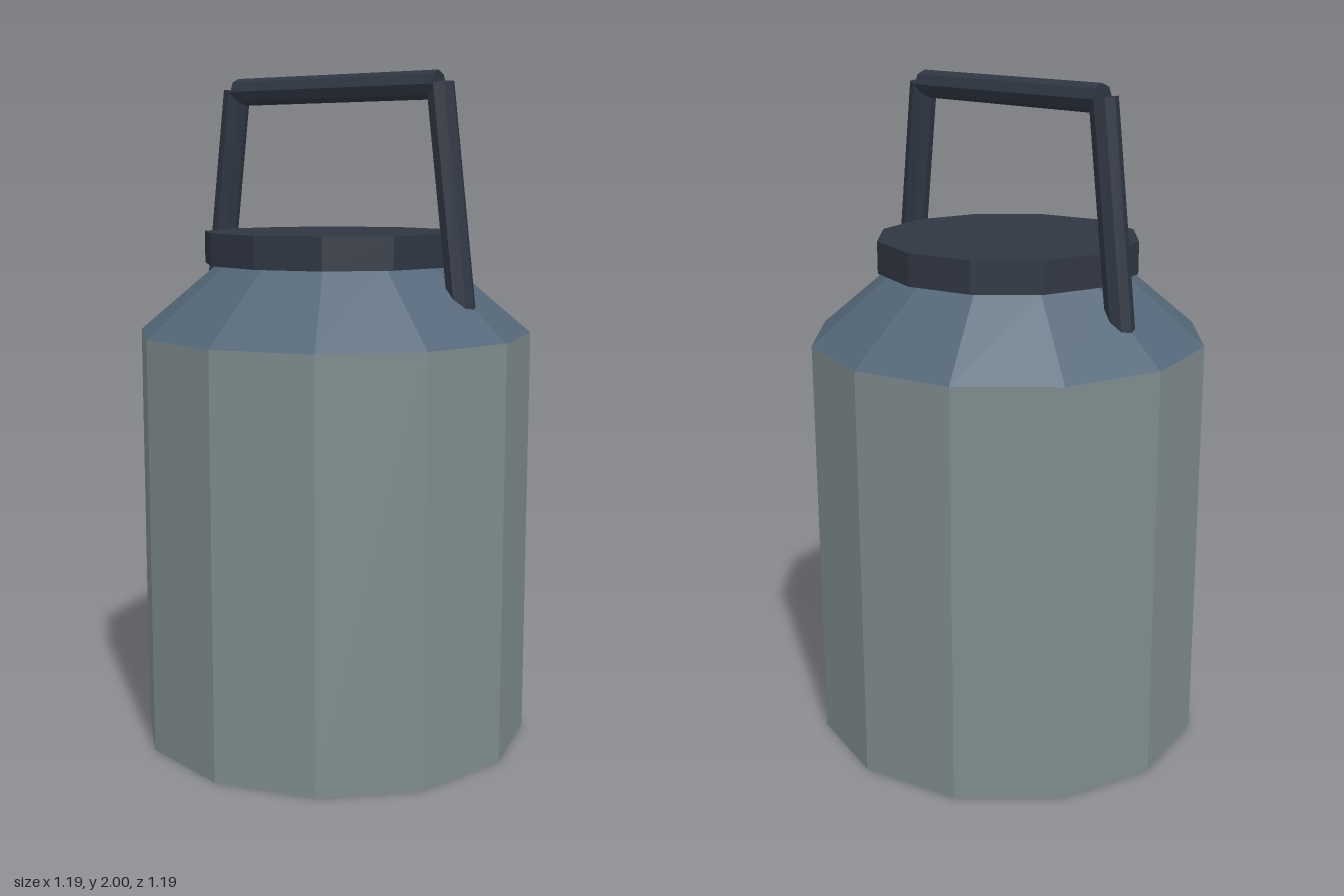
import * as THREE from 'three';

const mat = (name, color) => {
  const m = new THREE.MeshStandardMaterial({ color, flatShading: true });
  m.name = name;
  return m;
};

export function createModel() {
  const group = new THREE.Group();
  group.name = 'milkCan';
  const grey = mat('steelGrey', 0x7e8b8e);
  const blue = mat('slateBlue', 0x546778);
  const dark = mat('darkSlate', 0x2f3643);

  // Twelve-sided stacked ring between two heights
  const ring = (name, rTop, rBottom, y0, y1, material) => {
    const mesh = new THREE.Mesh(new THREE.CylinderGeometry(rTop, rBottom, y1 - y0, 12), material);
    mesh.position.y = (y0 + y1) / 2;
    mesh.name = name;
    group.add(mesh);
  };
  ring('body', 0.593, 0.593, 0, 1.24, grey);
  ring('shoulder', 0.35, 0.593, 1.24, 1.445, blue);
  ring('lid', 0.392, 0.392, 1.445, 1.54, dark);

  // Eight-sided rod between two points in the x-y plane
  const rod = (name, x0, y0, x1, y1) => {
    const dir = new THREE.Vector3(x1 - x0, y1 - y0, 0);
    const mesh = new THREE.Mesh(new THREE.CylinderGeometry(0.041, 0.041, dir.length(), 8), dark);
    mesh.position.set((x0 + x1) / 2, (y0 + y1) / 2, 0);
    mesh.rotation.z = Math.atan2(dir.y, dir.x) - Math.PI / 2;
    mesh.name = name;
    group.add(mesh);
  };
  rod('handleLegLeft', 0.449, 1.3, 0.366, 1.963);
  rod('handleLegRight', -0.449, 1.3, -0.366, 1.963);
  rod('handleGrip', -0.36, 1.959, 0.36, 1.959);

  return group;
}
